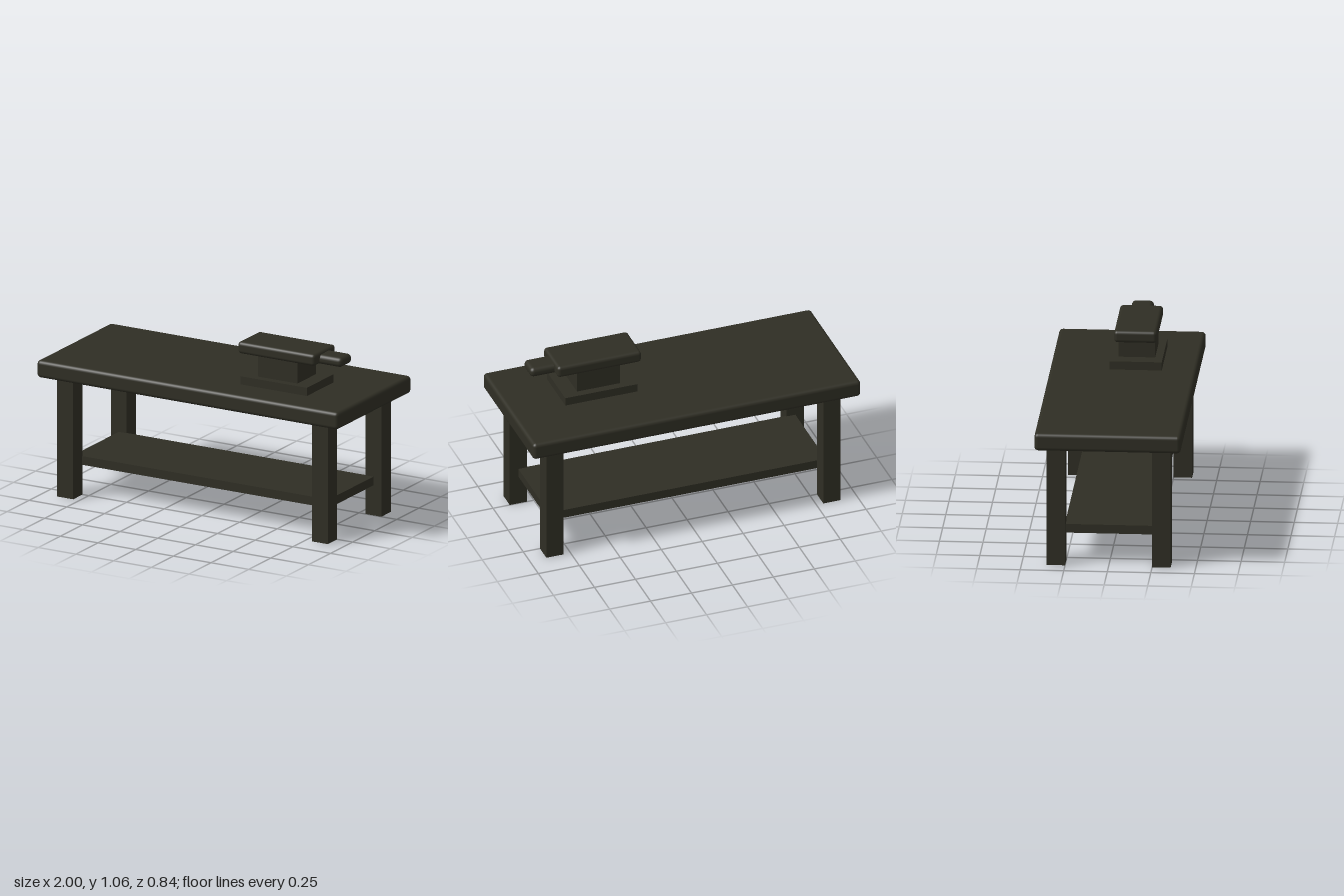
import * as THREE from 'three';
import { RoundedBoxGeometry } from 'three/addons/geometries/RoundedBoxGeometry.js';

export function createModel() {
  const model = new THREE.Group();
  model.name = 'workbench';
  const darkOlive = new THREE.MeshStandardMaterial({ color: 0x2f2e24 });
  darkOlive.name = 'darkOlive';

  // Block given by its [min, max] extents; a radius rounds the edges
  function block(name, [x0, x1], [y0, y1], [z0, z1], radius = 0, parent = model) {
    const size = [x1 - x0, y1 - y0, z1 - z0];
    const geometry = radius
      ? new RoundedBoxGeometry(...size, 3, radius)
      : new THREE.BoxGeometry(...size);
    const mesh = new THREE.Mesh(geometry, darkOlive);
    mesh.name = name;
    mesh.position.set((x0 + x1) / 2, (y0 + y1) / 2, (z0 + z1) / 2);
    parent.add(mesh);
    return mesh;
  }

  // Bench
  block('benchTop', [-1, 1], [0.715, 0.818], [-0.42, 0.42], 0.022);
  block('lowerShelf', [-0.845, 0.845], [0.18, 0.232], [-0.255, 0.255]);
  for (const sx of [-1, 1]) {
    for (const sz of [-1, 1]) {
      const leg = block('leg', [-0.053, 0.053], [0, 0.73], [-0.053, 0.053]);
      leg.position.x = sx * 0.845;
      leg.position.z = sz * 0.303;
      leg.name = (sz > 0 ? 'front' : 'back') + (sx > 0 ? 'Left' : 'Right') + 'Leg';
    }
  }

  // Anvil standing on the bench
  const anvil = new THREE.Group();
  anvil.name = 'anvil';
  model.add(anvil);
  block('anvilBase', [0.24, 0.68], [0.81, 0.867], [-0.078, 0.222], 0, anvil);
  block('anvilWaist', [0.33, 0.592], [0.86, 1.0], [-0.033, 0.178], 0, anvil);
  block('anvilFace', [0.202, 0.714], [0.99, 1.06], [-0.05, 0.196], 0.02, anvil);
  block('anvilHorn', [0.64, 0.858], [0.988, 1.045], [0.008, 0.135], 0.025, anvil);

  return model;
}
